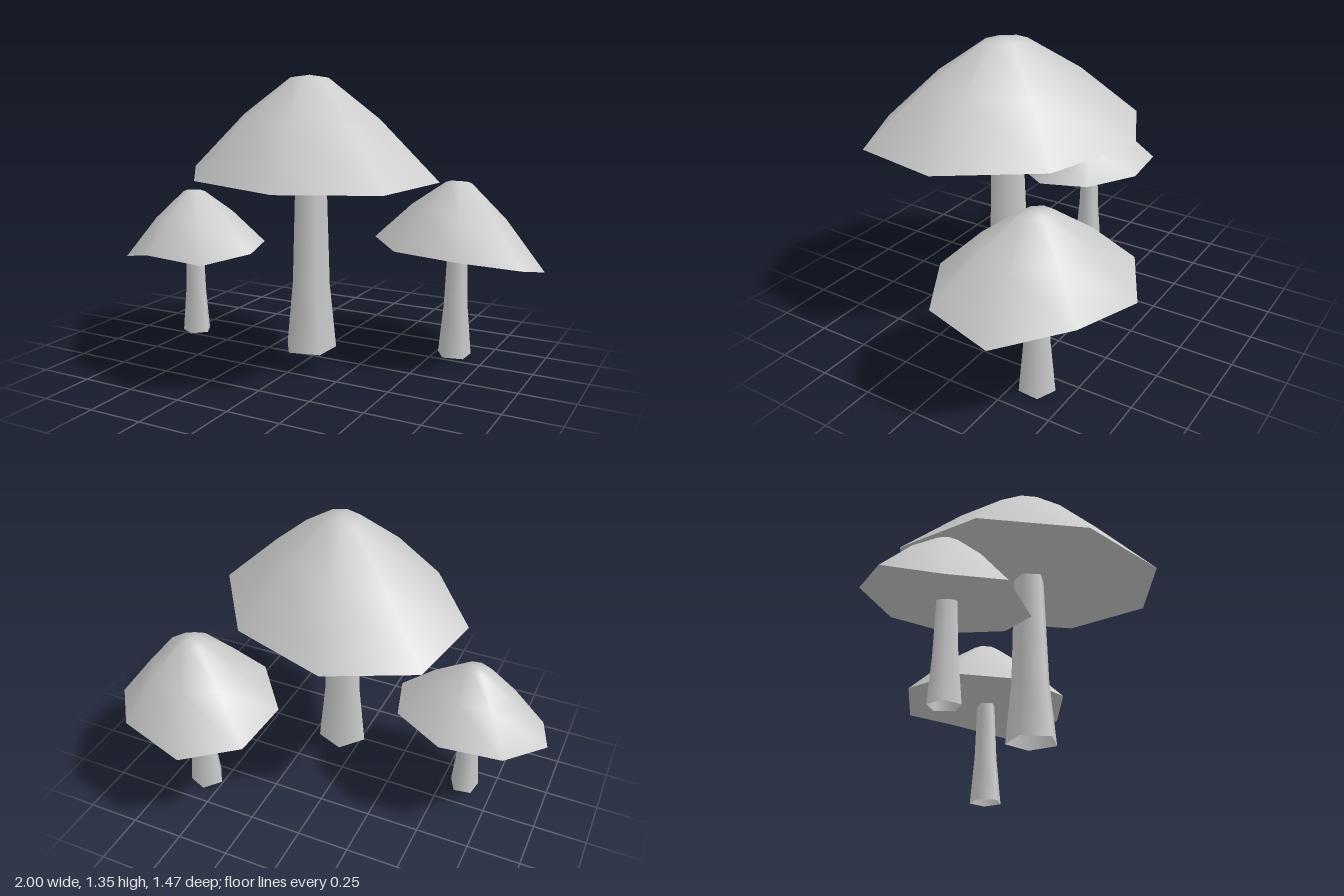
import * as THREE from 'three';

const SIDES = 8;
// Cap profile from crown to rim: [share of the rim radius, share of the cap height]
const PROFILE = [[0.155, 0.972], [0.55, 0.585], [1, 0]];

const MUSHROOMS = [
  { name: 'tallMushroom', center: [0.06, 0.147], apex: 1.345,
    a: [0.15, 0.583], b: [0.605, -0.02], rim: Array(SIDES).fill(0.91),
    stem: [[0.123, 0.1], [0.092, 0.4], [0.075, 0.93]], turn: 50 },
  { name: 'leftMushroom', center: [0.59, -0.345], apex: 0.85,
    a: [0.13, 0.39], b: [0.41, -0.035],
    rim: [0.555, 0.515, 0.45, 0.515, 0.485, 0.53, 0.55, 0.55],
    stem: [[0.083, 0], [0.06, 0.24], [0.047, 0.56]], turn: 50 },
  { name: 'rightMushroom', center: [-0.622, 0.08], apex: 0.777,
    a: [-0.06, 0.3], b: [0.375, 0.08],
    rim: [0.5, 0.475, 0.51, 0.52, 0.52, 0.52, 0.5, 0.44],
    stem: [[0.07, 0.06], [0.053, 0.26], [0.043, 0.53]], turn: 81 },
];

function geometryFrom(positions, index) {
  const g = new THREE.BufferGeometry();
  g.setAttribute('position', new THREE.Float32BufferAttribute(positions, 3));
  g.setIndex(index);
  g.computeVertexNormals();
  return g;
}

// Point on the stretched octagon of a cap, relative to its axis
function capPoint({ a, b, rim, apex }, i, radius, height) {
  const t = (i / SIDES) * Math.PI * 2;
  const c = Math.cos(t) * radius, s = Math.sin(t) * radius;
  return [a[0] * c + b[0] * s, THREE.MathUtils.lerp(rim[i], apex, height), a[1] * c + b[1] * s];
}

// Smooth upper surface: crown point and three rings
function capTop(m) {
  const pos = [0, m.apex, 0], index = [];
  PROFILE.forEach(([radius, height], ring) => {
    for (let i = 0; i < SIDES; i++) {
      pos.push(...capPoint(m, i, radius, height));
      const j = (i + 1) % SIDES, lo = 1 + ring * SIDES, up = lo - SIDES;
      if (ring === 0) index.push(0, lo + i, lo + j);
      else index.push(up + i, lo + i, lo + j, up + i, lo + j, up + j);
    }
  });
  return geometryFrom(pos, index);
}

// Closed underside, a fan around the stem
function capUnderside(m) {
  const mean = m.rim.reduce((sum, y) => sum + y, 0) / SIDES;
  const pos = [0, mean, 0], index = [];
  for (let i = 0; i < SIDES; i++) {
    pos.push(...capPoint(m, i, 1, 0));
    index.push(0, 1 + ((i + 1) % SIDES), 1 + i);
  }
  return geometryFrom(pos, index);
}

// Five-sided flared stem, open at the foot
function stemGeometry(m) {
  const points = m.stem.map(([r, y]) => new THREE.Vector2(r, y));
  return new THREE.LatheGeometry(points, 5, THREE.MathUtils.degToRad(m.turn));
}

export function createModel() {
  const model = new THREE.Group();
  model.name = 'mushrooms';
  const solid = new THREE.MeshStandardMaterial({ color: 0xcccccc });
  const open = new THREE.MeshStandardMaterial({ color: 0xcccccc, side: THREE.DoubleSide });

  for (const m of MUSHROOMS) {
    const mushroom = new THREE.Group();
    mushroom.name = m.name;
    mushroom.position.set(m.center[0], 0, m.center[1]);
    const add = (name, geometry, material) => {
      const mesh = new THREE.Mesh(geometry, material);
      mesh.name = name;
      mushroom.add(mesh);
    };
    add('capTop', capTop(m), solid);
    add('capUnderside', capUnderside(m), solid);
    add('stem', stemGeometry(m), open);
    model.add(mushroom);
  }
  return model;
}
